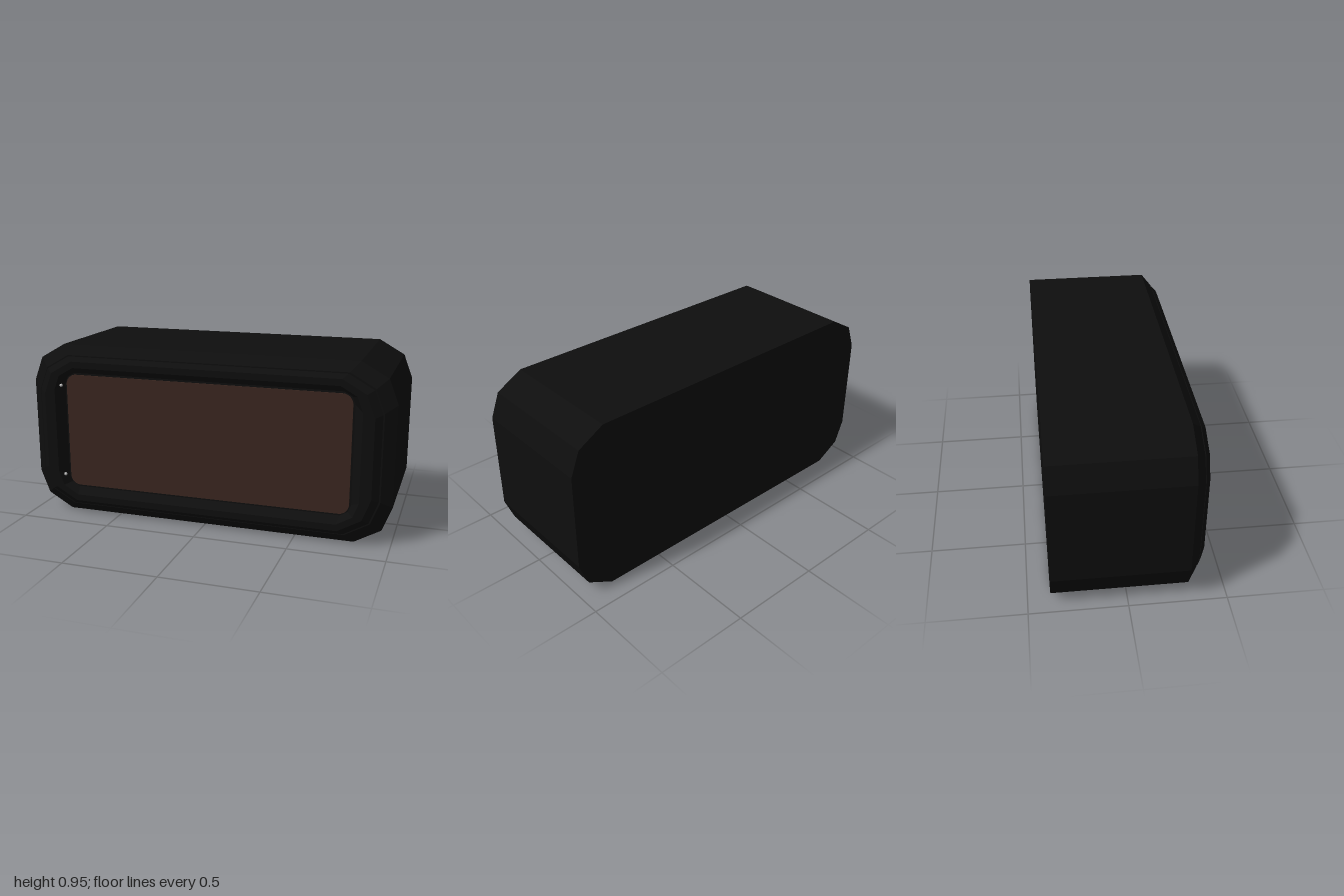
import * as THREE from 'three';

const CY = 0.475; // height of the centre line

// Closed 12-point outline with two-step chamfered corners, counterclockwise from the front
function ring(w, h, k, z) {
  const corner = [[0, 0.21], [0.05, 0.08], [0.19, 0]].map(([x, y]) => [w - x * k, h - y * k]);
  const back = [...corner].reverse();
  return [
    ...corner,
    ...back.map(([x, y]) => [-x, y]),
    ...corner.map(([x, y]) => [-x, -y]),
    ...back.map(([x, y]) => [x, -y]),
  ].map(([x, y]) => [x, y + CY, z]);
}

// Skin a run of rings from back to front, with optional end caps
function loft(rings, capBack, capFront) {
  const n = rings[0].length;
  const index = [];
  for (let i = 0; i < rings.length - 1; i++) {
    for (let j = 0; j < n; j++) {
      const a = i * n + j, b = i * n + (j + 1) % n;
      index.push(a, b, b + n, a, b + n, a + n);
    }
  }
  const last = (rings.length - 1) * n;
  for (let j = 1; j < n - 1; j++) {
    if (capBack) index.push(0, j + 1, j);
    if (capFront) index.push(last, last + j, last + j + 1);
  }
  const g = new THREE.BufferGeometry();
  g.setAttribute('position', new THREE.Float32BufferAttribute(rings.flat(2), 3));
  g.setIndex(index);
  const flat = g.toNonIndexed();
  flat.computeVertexNormals();
  return flat;
}

function roundedRect(w, h, r) {
  const s = new THREE.Shape();
  s.moveTo(-w + r, -h);
  s.lineTo(w - r, -h);
  s.absarc(w - r, -h + r, r, -Math.PI / 2, 0);
  s.absarc(w - r, h - r, r, 0, Math.PI / 2);
  s.absarc(-w + r, h - r, r, Math.PI / 2, Math.PI);
  s.absarc(-w + r, -h + r, r, Math.PI, Math.PI * 1.5);
  return s;
}

export function createModel() {
  const model = new THREE.Group();
  const add = (name, geometry, color, parent = model) => {
    const material = new THREE.MeshStandardMaterial({ color, flatShading: name !== 'indicator' });
    const mesh = new THREE.Mesh(geometry, material);
    mesh.name = name;
    parent.add(mesh);
    return mesh;
  };

  // Case with a bevelled front edge, up to the seam
  add('housing', loft([
    ring(1, 0.475, 1, -0.385),
    ring(1, 0.475, 1, 0.305),
    ring(0.942, 0.424, 0.93, 0.354),
    ring(0.93, 0.412, 0.92, 0.354),
  ], true, false), 0x0e0e0e);

  // Front frame: seam, outer bevel, flat lip, slope down to the recessed floor
  add('frontFrame', loft([
    ring(0.93, 0.412, 0.92, 0.354),
    ring(0.93, 0.412, 0.92, 0.36),
    ring(0.935, 0.418, 0.92, 0.36),
    ring(0.9, 0.395, 0.88, 0.385),
    ring(0.84, 0.36, 0.6, 0.385),
    ring(0.795, 0.325, 0.3, 0.34),
  ], false, true), 0x0e0e0e);

  // Rounded display panel
  const panel = new THREE.ExtrudeGeometry(roundedRect(0.785, 0.315, 0.055),
    { depth: 0.006, bevelEnabled: false, curveSegments: 8 });
  add('screen', panel, 0x3a2620).position.set(0, CY, 0.34);

  // Two tiny lights beside the screen
  const lights = new THREE.Group();
  lights.name = 'indicatorLights';
  model.add(lights);
  for (const y of [0.22, 0.73]) {
    add('indicator', new THREE.SphereGeometry(0.009, 12, 8), 0xcccccc, lights)
      .position.set(-0.812, y, 0.36);
  }
  return model;
}
